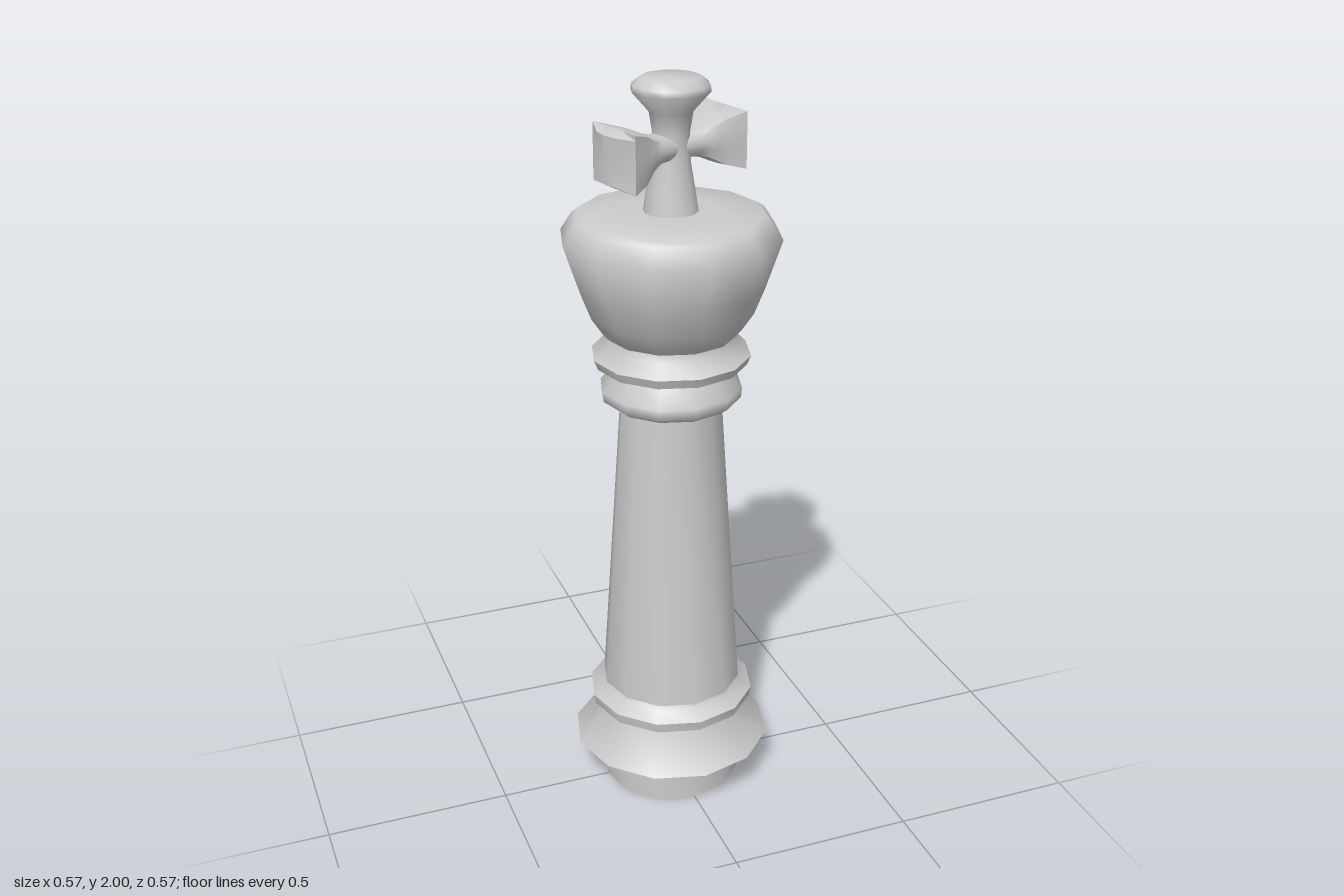
import * as THREE from 'three';
import { toCreasedNormals } from 'three/addons/utils/BufferGeometryUtils.js';

const material = new THREE.MeshStandardMaterial({ color: 0xcccccc });

function addMesh(group, name, geometry, crease) {
  const mesh = new THREE.Mesh(toCreasedNormals(geometry, crease), material);
  mesh.name = name;
  group.add(mesh);
  return mesh;
}

// Twelve-sided turned part from [radius, y] pairs, bottom to top
function turned(group, name, profile, crease = 1.0) {
  const points = profile.map(([r, y]) => new THREE.Vector2(r, y));
  return addMesh(group, name, new THREE.LatheGeometry(points, 12), crease);
}

// Flared arm along +x; each section runs from round (square = 0) to rectangular (square = 1)
function armGeometry() {
  const sides = 16;
  const sections = [
    { x: 0.0, halfZ: 0.045, halfY: 0.035, z: 0, square: 0, bulge: 0 },
    { x: 0.06, halfZ: 0.05, halfY: 0.036, z: -0.004, square: 0.2, bulge: 0 },
    { x: 0.09, halfZ: 0.059, halfY: 0.044, z: -0.008, square: 0.45, bulge: 0 },
    { x: 0.13, halfZ: 0.075, halfY: 0.062, z: -0.013, square: 0.8, bulge: 0 },
    { x: 0.182, halfZ: 0.09, halfY: 0.073, z: -0.017, square: 1, bulge: 0 },
    { x: 0.182, halfZ: 0.09, halfY: 0.06, z: -0.017, square: 1, bulge: 0.027 },
  ];
  const positions = [];
  const index = [];
  sections.forEach((s, i) => {
    for (let j = 0; j < sides; j++) {
      const a = (j / sides) * Math.PI * 2;
      const c = Math.cos(a), d = Math.sin(a);
      const k = Math.pow(Math.max(Math.abs(c), Math.abs(d)), s.square);
      const v = d / k;
      positions.push(s.x + s.bulge * (1 - v * v), (s.halfY * c) / k, s.z + s.halfZ * v);
      if (i === sections.length - 1) continue;
      const p = i * sides + j, q = i * sides + ((j + 1) % sides);
      index.push(p, q, p + sides, q, q + sides, p + sides);
    }
  });
  // Bulged end face
  const last = (sections.length - 1) * sides;
  const centre = positions.length / 3;
  positions.push(0.209, 0, -0.017);
  for (let j = 0; j < sides; j++) index.push(centre, last + j, last + ((j + 1) % sides));
  const geometry = new THREE.BufferGeometry();
  geometry.setAttribute('position', new THREE.Float32BufferAttribute(positions, 3));
  geometry.setIndex(index);
  return geometry;
}

export function createModel() {
  const king = new THREE.Group();
  king.name = 'chessKing';

  // Base
  turned(king, 'foot', [[0, 0], [0.193, 0], [0.193, 0.085]]);
  turned(king, 'baseRing', [[0.185, 0.08], [0.205, 0.08], [0.275, 0.128], [0.188, 0.235], [0.188, 0.25]]);
  turned(king, 'baseCollar', [[0.18, 0.242], [0.225, 0.247], [0.23, 0.275], [0.198, 0.3], [0.19, 0.315]]);

  // Tapered shaft
  turned(king, 'shaft', [[0.193, 0.3], [0.135, 1.16]]);

  // Neck rings
  turned(king, 'lowerNeckRing', [[0.13, 1.15], [0.165, 1.152], [0.186, 1.168], [0.188, 1.195], [0.14, 1.245], [0.13, 1.27]]);
  turned(king, 'upperNeckRing', [[0.12, 1.256], [0.2, 1.26], [0.21, 1.285], [0.175, 1.32], [0.17, 1.345]]);

  // Crown bowl
  turned(king, 'crownBowl', [
    [0.168, 1.335], [0.185, 1.355], [0.215, 1.4], [0.242, 1.47], [0.285, 1.6], [0.255, 1.647], [0.24, 1.658], [0.12, 1.663], [0, 1.664],
  ], 1.2);

  // Cross: stem with a flared top, and two arms half a turn apart
  const cross = new THREE.Group();
  cross.name = 'cross';
  king.add(cross);
  turned(cross, 'crossStem', [
    [0.072, 1.655], [0.062, 1.72], [0.05, 1.79], [0.047, 1.86], [0.056, 1.915], [0.1, 1.965], [0.098, 1.98], [0.075, 1.998], [0, 2],
  ], 1.2);
  for (const [name, turn] of [['leftArm', 0], ['rightArm', Math.PI]]) {
    const arm = addMesh(cross, name, armGeometry(), 0.75);
    arm.position.y = 1.828;
    arm.rotation.y = turn + THREE.MathUtils.degToRad(16);
  }
  return king;
}
